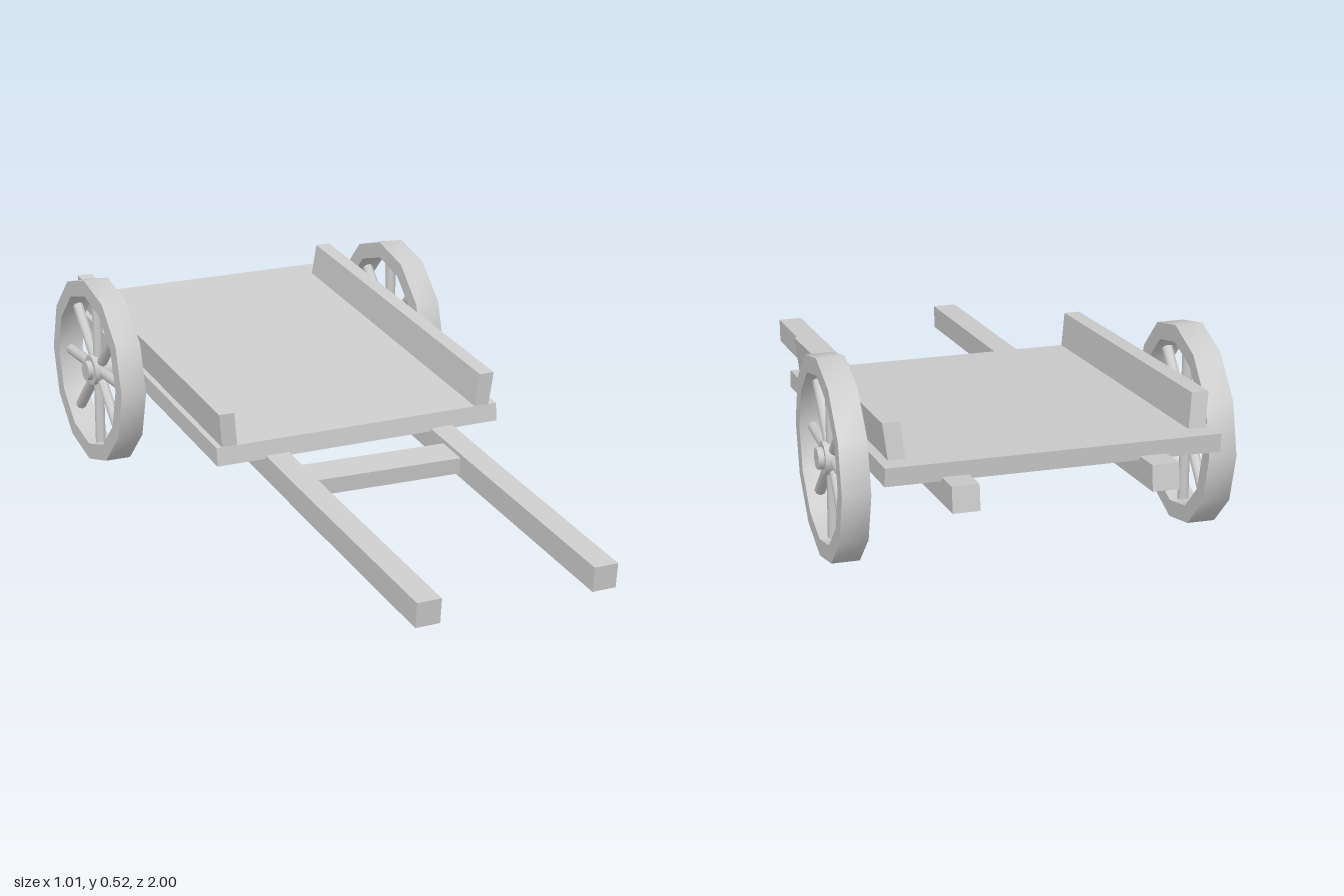
import * as THREE from 'three';
import { toCreasedNormals } from 'three/addons/utils/BufferGeometryUtils.js';

const material = new THREE.MeshStandardMaterial({ color: 0xcccccc });
const AXLE_Y = 0.265, AXLE_Z = -0.535, SLOPE = 0.127;

function part(name, geometry) {
  const mesh = new THREE.Mesh(geometry, material);
  mesh.name = name;
  return mesh;
}

// Beam with a side outline given as [z, y] points, extruded across x
function beam(outline, x, width) {
  const shape = new THREE.Shape(outline.map(([z, y]) => new THREE.Vector2(z, y)));
  const geo = new THREE.ExtrudeGeometry(shape, { depth: width, bevelEnabled: false });
  return geo.translate(0, 0, -width / 2).rotateY(-Math.PI / 2).translate(x, 0, 0);
}

// Cylinder lying along x
function rod(radius, length, sides) {
  const geo = new THREE.CylinderGeometry(radius, radius, length, sides).rotateZ(Math.PI / 2);
  return toCreasedNormals(geo, 0.9);
}

// Twelve-sided rim, eight spokes and a hub
function wheel(name) {
  const group = new THREE.Group();
  group.name = name;
  const profile = [[0.217, -0.036], [0.262, -0.036], [0.262, 0.036], [0.217, 0.036], [0.217, -0.036]];
  const rim = new THREE.LatheGeometry(profile.map(([r, h]) => new THREE.Vector2(r, h)), 12);
  group.add(part('rim', toCreasedNormals(rim.rotateZ(Math.PI / 2), 0.6)));
  for (let i = 0; i < 8; i++) {
    const spoke = new THREE.CylinderGeometry(0.015, 0.015, 0.2, 8, 1, true);
    spoke.translate(0, 0.125, 0).rotateX(i * Math.PI / 4);
    group.add(part('spoke', spoke));
  }
  group.add(part('hub', rod(0.043, 0.05, 12)));
  return group;
}

export function createModel() {
  const cart = new THREE.Group();
  cart.name = 'handCart';

  // Sloping load bed
  cart.add(part('bed', beam([[0.17, 0.192], [0.165, 0.241], [-0.909, 0.377], [-0.903, 0.328]], 0.004, 0.835)));

  // Side boards, leaning slightly outward
  for (const side of [-1, 1]) {
    const geo = beam([[0.165, 0.236], [0.172, 0.333], [-0.828, 0.458], [-0.84, 0.361]].map(
      ([z, y], i) => [i === 0 || i === 3 ? z - 0.001 : z, y]), 0, 0.043);
    const pos = geo.attributes.position;
    for (let i = 0; i < pos.count; i++) {
      const height = pos.getY(i) - (0.24 - SLOPE * (pos.getZ(i) - 0.165));
      pos.setX(i, pos.getX(i) + side * (0.376 + height * 0.11));
    }
    geo.computeVertexNormals();
    cart.add(part(side > 0 ? 'leftSideBoard' : 'rightSideBoard', geo));
  }

  // Long shafts under the bed, bent slightly ahead of it
  const shaft = [[0.993, 0.032], [1, 0.098], [0.4, 0.17], [-0.992, 0.35], [-1, 0.285], [0.4, 0.104]];
  cart.add(part('leftShaft', beam(shaft, 0.25, 0.067)));
  cart.add(part('rightShaft', beam(shaft, -0.241, 0.067)));

  // Crossbar between the shafts
  const crossbar = part('crossbar', new THREE.BoxGeometry(0.45, 0.045, 0.095));
  crossbar.position.set(0.005, 0.152, 0.278);
  crossbar.rotation.set(Math.atan(SLOPE), -0.03, 0);
  cart.add(crossbar);

  // Axle and wheels
  const axle = part('axle', rod(0.028, 1.008, 12));
  axle.position.set(0, AXLE_Y, AXLE_Z);
  cart.add(axle);
  for (const side of [-1, 1]) {
    const w = wheel(side > 0 ? 'leftWheel' : 'rightWheel');
    w.position.set(side * 0.464, AXLE_Y, AXLE_Z);
    cart.add(w);
  }
  return cart;
}
